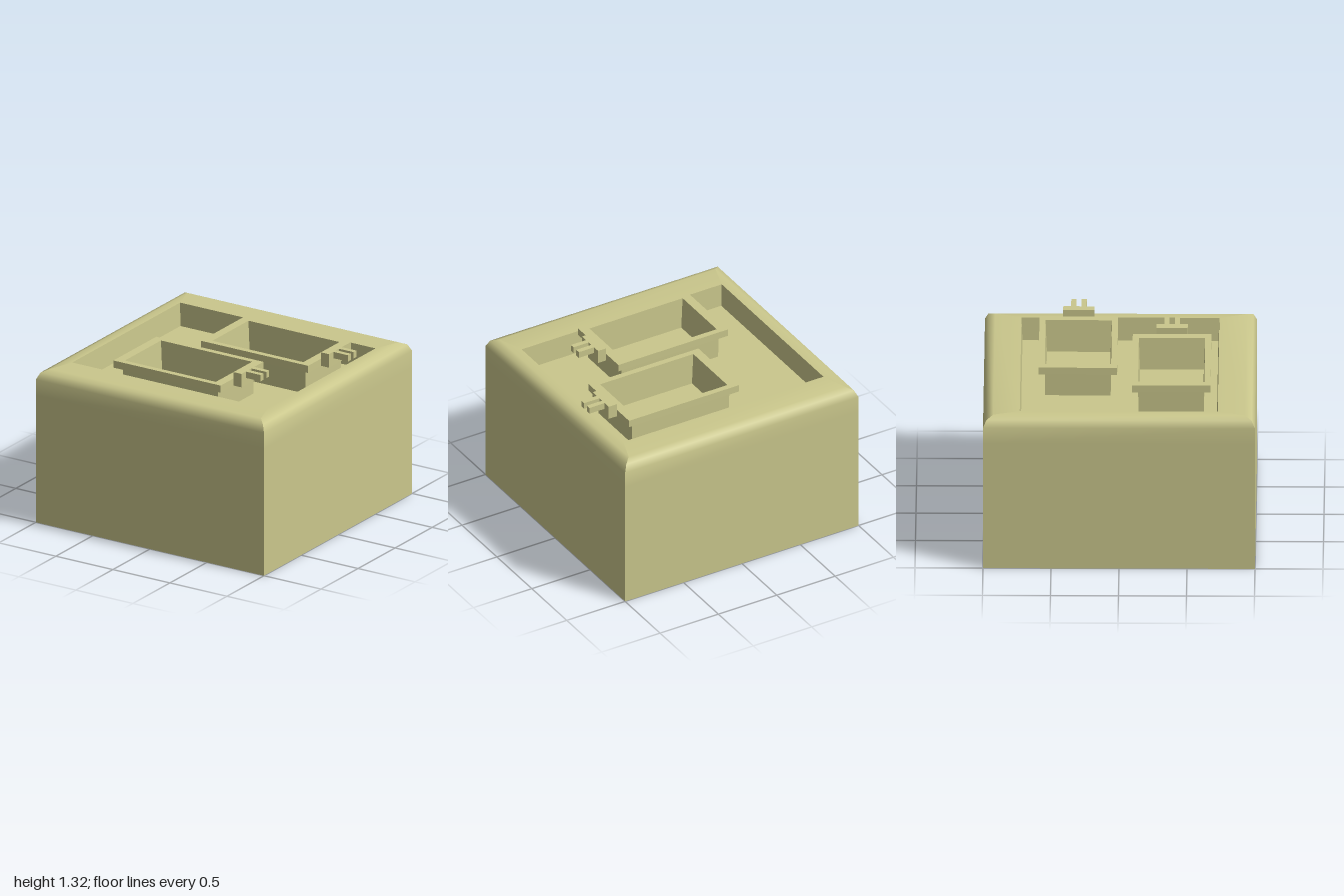
import * as THREE from 'three';

const material = new THREE.MeshStandardMaterial({ color: 0xcac78c, side: THREE.DoubleSide });

// Rectangle at height y, given by its centre and half sizes
const ring = (hx, hz, y, cx = 0, cz = 0) => [
  [cx - hx, y, cz + hz], [cx + hx, y, cz + hz], [cx + hx, y, cz - hz], [cx - hx, y, cz - hz],
];

// Skin four sides through a list of rectangles: sharp at the corners,
// smooth or faceted along the profile
function loft(name, rings, smooth = false) {
  const pos = [], index = [];
  for (let s = 0; s < 4; s++) {
    const base = pos.length / 3;
    rings.forEach(r => pos.push(...r[s], ...r[(s + 1) % 4]));
    for (let i = 0; i < rings.length - 1; i++) {
      const a = base + i * 2;
      index.push(a, a + 1, a + 3, a, a + 3, a + 2);
    }
  }
  let geo = new THREE.BufferGeometry();
  geo.setAttribute('position', new THREE.Float32BufferAttribute(pos, 3));
  geo.setIndex(index);
  if (!smooth) geo = geo.toNonIndexed();
  geo.computeVertexNormals();
  const mesh = new THREE.Mesh(geo, material);
  mesh.name = name;
  return mesh;
}

// Box from its two extreme corners
function box(name, [x0, y0, z0], [x1, y1, z1]) {
  const mesh = new THREE.Mesh(new THREE.BoxGeometry(x1 - x0, y1 - y0, z1 - z0), material);
  mesh.position.set((x0 + x1) / 2, (y0 + y1) / 2, (z0 + z1) / 2);
  mesh.name = name;
  return mesh;
}

// Basket centred on its own origin in x and z, with a pronged handle at +x
function basket(name, x, z) {
  const group = new THREE.Group();
  group.name = name;
  group.add(loft('basketShell', [
    ring(0.41, 0.238, 0.8), ring(0.417, 0.243, 1.21),   // outer wall
    ring(0.47, 0.289, 1.21), ring(0.47, 0.289, 1.266),  // rim
    ring(0.399, 0.244, 1.266), ring(0.382, 0.234, 1.02), // inner wall
    ring(0.38, 0.232, 0.82),
  ]));
  group.add(box('basketFloor', [-0.41, 0.8, -0.238], [0.41, 0.82, 0.238]));
  group.add(box('handleBracket', [0.47, 1.21, -0.115], [0.54, 1.316, 0.115]));
  for (const side of [-1, 1]) {
    const prong = box('handleProng', [0.54, 1.266, -0.019], [0.67, 1.316, 0.019]);
    prong.position.z = side * 0.038;
    group.add(prong);
  }
  group.position.set(x, 0, z);
  return group;
}

export function createModel() {
  const model = new THREE.Group();
  model.name = 'deepFryer';

  // Housing, open underneath, with rounded top edge
  model.add(loft('housing', [
    ring(1, 1, 0), ring(1, 1, 1), ring(1, 1, 1.125), ring(0.975, 0.975, 1.178),
    ring(0.925, 0.925, 1.2), ring(0.857, 0.728, 1.2, -0.003, -0.003),
  ], true));

  // Well walls hanging from the top opening
  model.add(loft('wellWall', [
    ring(0.857, 0.728, 1.2, -0.003, -0.003),
    ring(0.848, 0.72, 1.02, -0.003, -0.003),
    ring(0.848, 0.72, 0.57, -0.003, -0.003),
  ]));

  // Filling inside the well
  model.add(box('oil', [-0.851, 0.7, -0.723], [0.845, 1.02, 0.717]));

  model.add(basket('frontBasket', -0.065, 0.38));
  model.add(basket('backBasket', 0.255, -0.308));
  return model;
}
